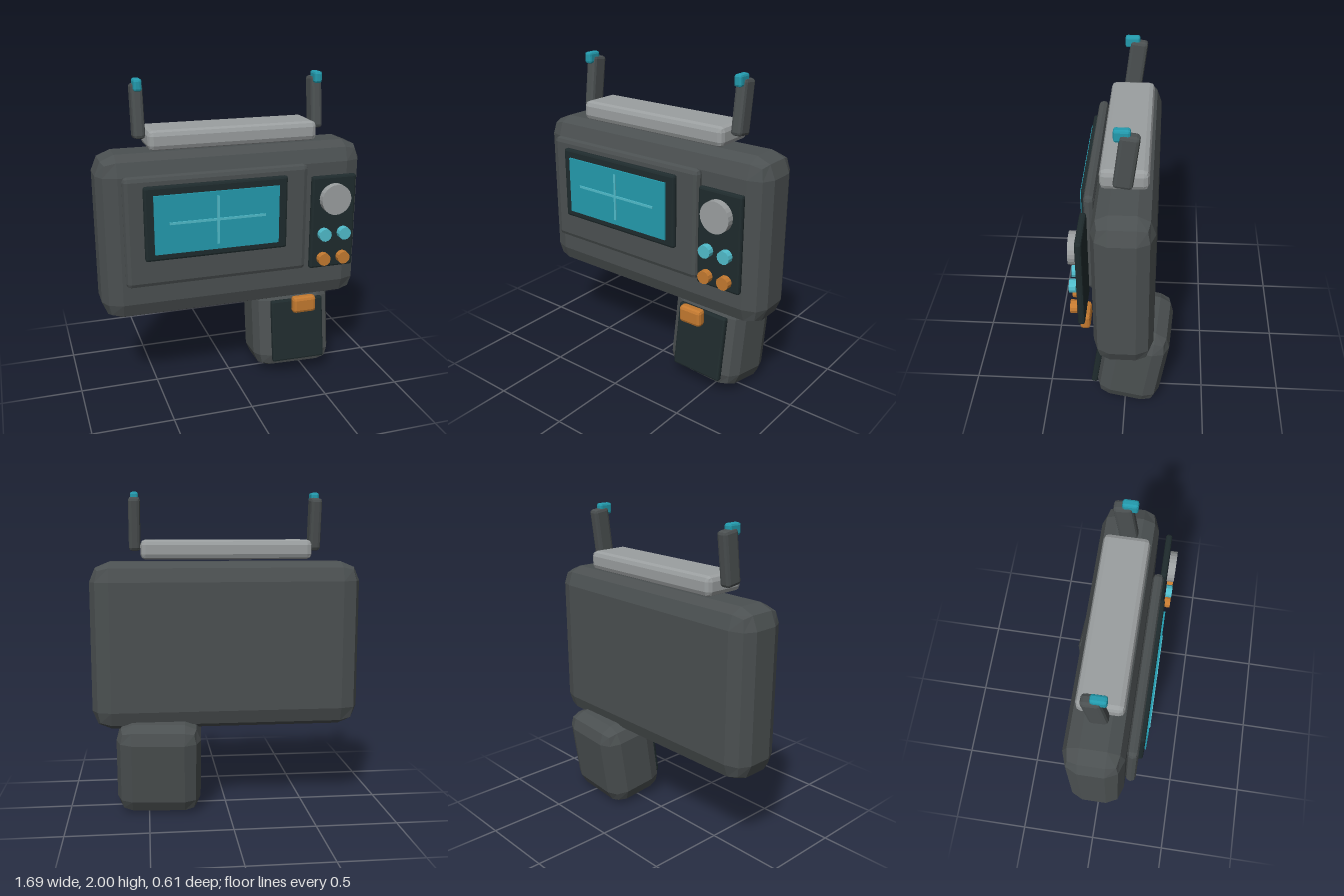
import * as THREE from 'three';
import { RoundedBoxGeometry } from 'three/addons/geometries/RoundedBoxGeometry.js';

const mat = (name, color) => {
  const m = new THREE.MeshStandardMaterial({ color, flatShading: true });
  m.name = name;
  return m;
};

// Box with a two-facet bevel on every edge, bevel given per axis.
function bevelBox(w, h, d, bx, by = bx, bz = bx) {
  const g = new RoundedBoxGeometry(w / bx, h / by, d / bz, 1, 1);
  g.scale(bx, by, bz);
  g.computeVertexNormals();
  return g;
}

export function createModel() {
  const root = new THREE.Group();
  root.name = 'handheldScanner';
  const casing = mat('casing grey', 0x4b5051);
  const dark = mat('dark trim', 0x1f2b2d);
  const silver = mat('light grey', 0x9b9fa0);
  const teal = mat('screen teal', 0x239bae);
  const cyan = mat('pale cyan', 0x50bccb);
  const orange = mat('orange', 0xc47a30);

  const add = (name, geometry, material, x, y, z, rx = 0, ry = 0) => {
    const mesh = new THREE.Mesh(geometry, material);
    mesh.name = name;
    mesh.position.set(x, y, z);
    mesh.rotation.set(rx, ry, 0);
    root.add(mesh);
    return mesh;
  };

  // Main casing and raised front panel
  add('body', bevelBox(1.69, 1.045, 0.355, 0.12, 0.12, 0.1), casing, 0, 1.052, 0.002);
  add('frontPanel', bevelBox(1.15, 0.69, 0.065, 0.03), casing, -0.135, 1.125, 0.215);

  // Screen with crosshair
  add('screenBezel', bevelBox(0.89, 0.46, 0.04, 0.014), dark, -0.15, 1.185, 0.255);
  add('screen', new THREE.BoxGeometry(0.775, 0.362, 0.02), teal, -0.152, 1.182, 0.276);
  add('crosshairAcross', new THREE.BoxGeometry(0.595, 0.015, 0.008), cyan, -0.152, 1.19, 0.288);
  add('crosshairUpright', new THREE.BoxGeometry(0.015, 0.3, 0.008), cyan, -0.152, 1.185, 0.288);

  // Control strip with knob and buttons
  add('controlPanel', bevelBox(0.295, 0.605, 0.04, 0.014), dark, 0.607, 1.088, 0.245);
  const disc = (r, depth, sides) => new THREE.CylinderGeometry(r, r, depth, sides).rotateX(Math.PI / 2);
  add('knob', disc(0.097, 0.045, 24), silver, 0.605, 1.247, 0.29);
  for (const x of [0.54, 0.672]) {
    add('upperButton', disc(0.041, 0.04, 12), cyan, x, 1.02, 0.293);
    add('lowerButton', disc(0.041, 0.04, 12), orange, x, 0.857, 0.293);
  }

  // Top handle bar
  add('topBar', bevelBox(1.06, 0.12, 0.275, 0.032), silver, 0, 1.65, 0.007);

  // Swept-back antennas with tips
  for (const side of [-1, 1]) {
    add('antenna', bevelBox(0.072, 0.325, 0.11, 0.02), casing, side * 0.564, 1.807, -0.008, -0.13);
    add('antennaTip', bevelBox(0.05, 0.072, 0.092, 0.014), teal, side * 0.563, 1.964, 0.014);
  }

  // Tilted grip with pad, and trigger
  add('grip', bevelBox(0.525, 0.58, 0.41, 0.1), casing, 0.428, 0.305, -0.055, -0.145, -0.07);
  add('gripPad', bevelBox(0.355, 0.42, 0.04, 0.012), dark, 0.427, 0.322, 0.165, -0.145, -0.04);
  add('trigger', bevelBox(0.155, 0.108, 0.065, 0.02), orange, 0.427, 0.547, 0.258);

  return root;
}
